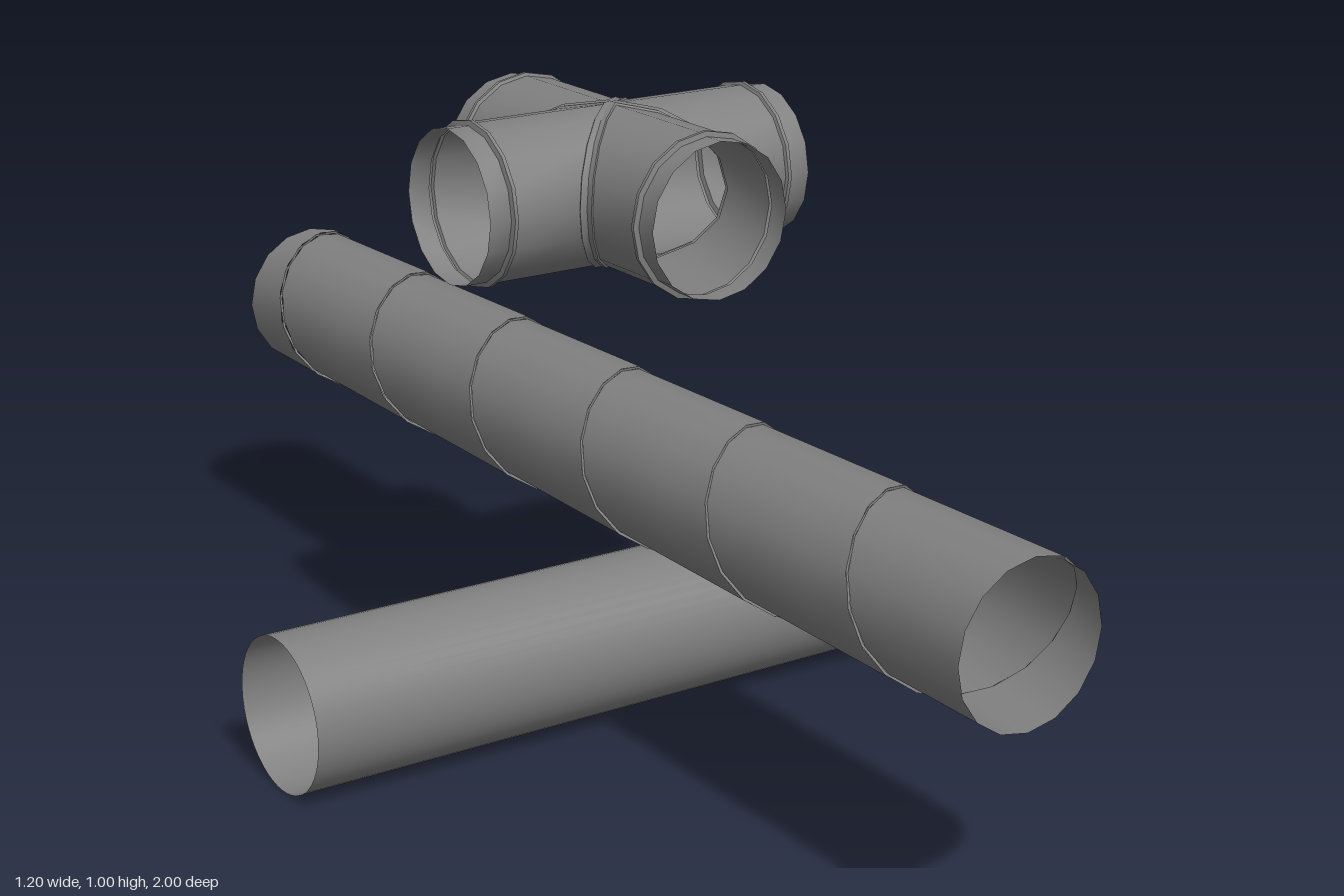
import * as THREE from 'three';

const metal = new THREE.MeshStandardMaterial({ color: 0x808080, side: THREE.DoubleSide });
metal.name = 'duct grey';

// Smooth grid surface; point(i, j) gives [x, y, z]. Closed grids wrap in i.
function gridSurface(name, cols, rows, closed, point) {
  const pos = [], index = [];
  const n = closed ? cols : cols + 1;
  for (let i = 0; i < n; i++) {
    for (let j = 0; j <= rows; j++) pos.push(...point(i, j));
  }
  const id = (i, j) => (i % n) * (rows + 1) + j;
  for (let i = 0; i < cols; i++) {
    for (let j = 0; j < rows; j++) {
      const a = id(i, j), b = id(i + 1, j), c = id(i + 1, j + 1), d = id(i, j + 1);
      index.push(a, b, d, b, c, d);
    }
  }
  const g = new THREE.BufferGeometry();
  g.setAttribute('position', new THREE.Float32BufferAttribute(pos, 3));
  g.setIndex(index);
  g.computeVertexNormals();
  const mesh = new THREE.Mesh(g, metal);
  mesh.name = name;
  return mesh;
}

// Plain open pipe running left to right
function straightPipe() {
  const g = new THREE.CylinderGeometry(0.124, 0.124, 1.2, 48, 1, true);
  g.rotateZ(Math.PI / 2);
  const mesh = new THREE.Mesh(g, metal);
  mesh.name = 'straightPipe';
  mesh.position.y = 0.125;
  return mesh;
}

// Open pipe wound from one helical strip with a lapped seam
function spiralPipe() {
  const group = new THREE.Group();
  group.name = 'spiralPipe';
  const pitch = 0.33, sides = 16, inner = 0.1225, outer = 0.1265;
  const seamZ = (turn) => 0.69 - pitch * turn;
  const at = (turn, r, z) => {
    const a = turn * Math.PI * 2;
    return [r * Math.sin(a), r * Math.cos(a), z];
  };
  group.add(gridSurface('woundStrip', sides * 7.25, 3, false, (i, j) => {
    const turn = -2 + i / sides;
    const z = THREE.MathUtils.clamp(seamZ(turn) - pitch * j / 3, -1, 1);
    const t = THREE.MathUtils.clamp((seamZ(turn) - z) / pitch, 0, 1);
    return at(turn, THREE.MathUtils.lerp(outer, inner, t), z);
  }));
  // Step at the lapped edge
  const first = -0.93, turns = 6.04;
  const steps = 97;
  group.add(gridSurface('seamLip', steps, 1, false, (i, j) => {
    const turn = first + turns * i / steps;
    return at(turn, j ? outer : inner, seamZ(turn));
  }));
  group.position.y = 0.45;
  return group;
}

// One mitred arm of the cross, pointing along +x
function crossArm() {
  const arm = new THREE.Group();
  const sides = 16;
  // Each stop: [distance along x, radius, follows the mitre]
  const stops = [
    [0, 0.126, 1], [0.012, 0.126, 1], [0.014, 0.1225, 1],
    [0.243, 0.1225, 0], [0.245, 0.1275, 0], [0.251, 0.1275, 0],
    [0.253, 0.1195, 0], [0.289, 0.1195, 0],
  ];
  const names = ['mitreRib', 'mitreStep', 'armBody', 'beadBack', 'bead', 'beadFront', 'collar'];
  names.forEach((name, k) => {
    arm.add(gridSurface(name, sides, 1, true, (i, j) => {
      const [x, r, mitre] = stops[k + j];
      const a = i / sides * Math.PI * 2;
      const z = r * Math.sin(a);
      return [x + mitre * Math.abs(z), r * Math.cos(a), z];
    }));
  });
  return arm;
}

// Four-way fitting
function crossFitting() {
  const group = new THREE.Group();
  group.name = 'crossFitting';
  ['leftArm', 'backArm', 'rightArm', 'frontArm'].forEach((name, i) => {
    const arm = crossArm();
    arm.name = name;
    arm.rotation.y = i * Math.PI / 2;
    group.add(arm);
  });
  group.position.y = 0.87;
  return group;
}

export function createModel() {
  const model = new THREE.Group();
  model.name = 'ductParts';
  model.add(straightPipe(), spiralPipe(), crossFitting());
  return model;
}
